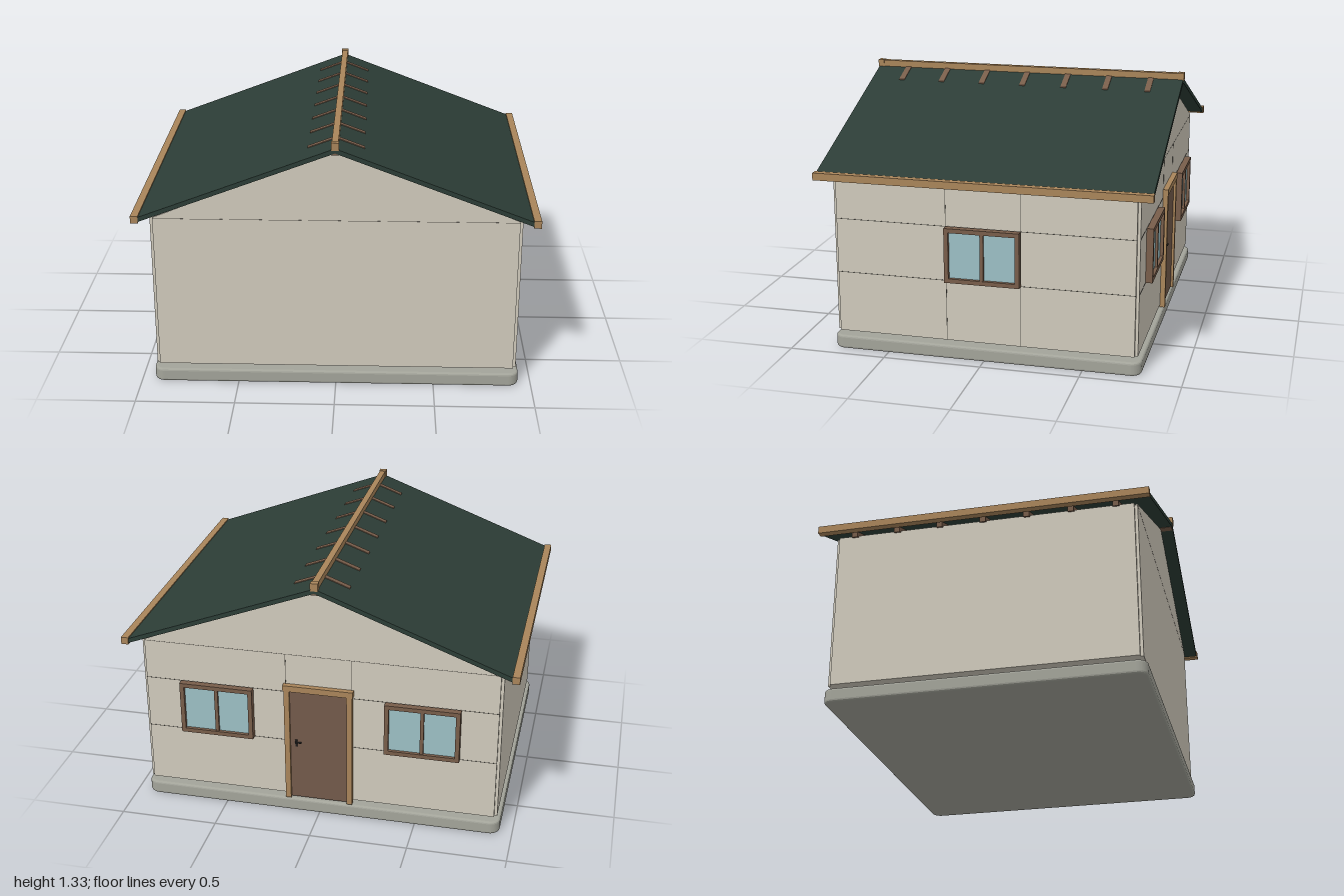
import * as THREE from 'three';

const mat = (name, color, side = THREE.FrontSide) => {
  const m = new THREE.MeshStandardMaterial({ color, side });
  m.name = name;
  return m;
};

export function createModel() {
  const M = {
    wall: mat('cream wall', 0xd0cabc),
    roof: mat('dark green roof', 0x2c3d36),
    wood: mat('light wood', 0xa9855a),
    dark: mat('dark wood', 0x785d4a),
    door: mat('door brown', 0x735a4b),
    glass: mat('blue glass', 0x9cc0c5),
    slab: mat('grey concrete', 0xa3a49a),
    seam: mat('seam grey', 0x55534c),
    metal: mat('handle black', 0x2a2826),
  };
  const house = new THREE.Group();
  house.name = 'house';

  const add = (parent, name, geo, material, x = 0, y = 0, z = 0) => {
    const m = new THREE.Mesh(geo, material);
    m.name = name;
    m.position.set(x, y, z);
    parent.add(m);
    return m;
  };
  // box given by its limits on each axis
  const box = (parent, name, material, x0, x1, y0, y1, z0, z1) =>
    add(parent, name, new THREE.BoxGeometry(x1 - x0, y1 - y0, z1 - z0), material,
      (x0 + x1) / 2, (y0 + y1) / 2, (z0 + z1) / 2);
  // x-y outline extruded from z0 to z1
  const prism = (parent, name, material, pts, z0, z1) => {
    const shape = new THREE.Shape(pts.map(p => new THREE.Vector2(...p)));
    const geo = new THREE.ExtrudeGeometry(shape, { depth: z1 - z0, bevelEnabled: false });
    return add(parent, name, geo, material, 0, 0, z0);
  };

  // Foundation slab with rounded corners and softened edges
  const b = 0.012, hx = 0.935 - b, hz = 0.79 - b, r = 0.04;
  const plan = new THREE.Shape();
  plan.absarc(hx - r, hz - r, r, 0, Math.PI / 2);
  plan.absarc(-hx + r, hz - r, r, Math.PI / 2, Math.PI);
  plan.absarc(-hx + r, -hz + r, r, Math.PI, Math.PI * 1.5);
  plan.absarc(hx - r, -hz + r, r, Math.PI * 1.5, Math.PI * 2);
  const slabGeo = new THREE.ExtrudeGeometry(plan, {
    depth: 0.07 - 2 * b, bevelThickness: b, bevelSize: b, bevelSegments: 3, curveSegments: 6,
  });
  slabGeo.rotateX(-Math.PI / 2);
  add(house, 'foundationSlab', slabGeo, M.slab, 0, b, 0);

  // Floor joists, pipes and floor
  for (let i = 0; i < 6; i++) {
    const z = 0.69 - i * 0.275;
    box(house, 'floorJoist', M.wood, -0.86, 0.86, 0.07, 0.095, z - 0.02, z + 0.02);
  }
  for (const z of [0.33, 0.25])
    box(house, 'floorPacker', M.wood, -0.5, 0.5, 0.07, 0.095, z - 0.006, z + 0.006);
  box(house, 'floor', M.wall, -0.905, 0.905, 0.095, 0.11, -0.757, 0.757);

  // Side walls, then gable walls
  for (const s of [-1, 1]) {
    const x = s * 0.9125;
    box(house, 'sideWall', M.wall, x - 0.0075, x + 0.0075, 0.095, 0.905, -0.757, 0.757);
    const z = s * 0.7645;
    prism(house, 'gableWall', M.wall,
      [[-0.905, 0.095], [0.905, 0.095], [0.905, 0.905], [0, 1.268], [-0.905, 0.905]],
      z - 0.0075, z + 0.0075);
    box(house, 'gableSeam', M.seam, -0.905, 0.905, 0.899, 0.901, z - 0.008, z + 0.008);
  }

  // Panel seams on the window side and the door side
  const t = 0.0015;
  for (const y of [0.41, 0.69]) {
    box(house, 'sideSeam', M.seam, 0.915, 0.921, y - t, y + t, -0.757, 0.757);
    box(house, 'backSeam', M.seam, -0.905, 0.905, y - t, y + t, -0.773, -0.767);
  }
  for (const s of [-1, 1]) {
    box(house, 'sideSeam', M.seam, 0.915, 0.921, 0.095, 0.9, s * 0.19 - t, s * 0.19 + t);
    box(house, 'backSeam', M.seam, s * 0.17 - t, s * 0.17 + t, 0.69, 0.9, -0.773, -0.767);
  }

  // Two-pane window, facing +z from its own wall plane
  const makeWindow = (x, z, turn) => {
    const w = new THREE.Group();
    w.name = 'window';
    const W = 0.19, H = 0.14, f = 0.022, d = 0.035;
    for (const s of [-1, 1]) {
      const cx = s * (W - f / 2), cy = s * (H - f / 2);
      box(w, 'frameSide', M.dark, cx - f / 2, cx + f / 2, -H, H, 0, d);
      box(w, 'frameRail', M.dark, -W + f, W - f, cy - f / 2, cy + f / 2, 0, d);
    }
    box(w, 'mullion', M.dark, -0.009, 0.009, -H + f, H - f, 0, d - 0.004);
    box(w, 'glass', M.glass, -W + f, W - f, -H + f, H - f, 0.012, 0.018);
    w.position.set(x, 0.55, z);
    w.rotation.y = turn;
    house.add(w);
  };
  makeWindow(0.921, 0, Math.PI / 2);
  makeWindow(0.53, -0.772, Math.PI);
  makeWindow(-0.53, -0.772, Math.PI);

  // Back door with frame and handle
  const door = new THREE.Group();
  door.name = 'door';
  house.add(door);
  box(door, 'doorLeaf', M.door, -0.15, 0.15, 0.085, 0.71, -0.785, -0.77);
  for (const s of [-1, 1])
    box(door, 'doorPost', M.wood, s * 0.161 - 0.014, s * 0.161 + 0.014, 0.08, 0.71, -0.798, -0.77);
  box(door, 'doorHead', M.wood, -0.18, 0.18, 0.705, 0.737, -0.8, -0.77);
  box(door, 'handlePlate', M.metal, 0.112, 0.122, 0.385, 0.425, -0.789, -0.784);
  box(door, 'handleLever', M.metal, 0.09, 0.122, 0.409, 0.415, -0.797, -0.789);

  // Roof slopes, rafters, ridge straps and eave beams on both sides
  const top = x => 1.298 - 0.379 * x;
  for (const s of [-1, 1]) {
    const strip = (name, material, x0, x1, up, down, z0, z1) => prism(house, name, material,
      [[s * x0, top(x0) + up], [s * x1, top(x1) + up], [s * x1, top(x1) - down], [s * x0, top(x0) - down]],
      z0, z1);
    strip('roofSlope', M.roof, 0, 0.966, 0, 0.024, -0.838, 0.838);
    for (let i = -3; i <= 3; i++) {
      const z = i * 0.223;
      strip('rafter', M.dark, 0, 0.94, -0.023, 0.052, z - 0.015, z + 0.015);
      strip('ridgeStrap', M.dark, 0.005, 0.14, 0.004, 0.002, z - 0.015, z + 0.015);
    }
    const x = s * 0.9815;
    box(house, 'eaveBeam', M.wood, x - 0.0185, x + 0.0185, 0.902, 0.939, -0.843, 0.843);
  }

  // Ridge beams above and below the roof
  box(house, 'ridgeBeam', M.wood, -0.016, 0.016, 1.288, 1.325, -0.84, 0.84);
  for (const s of [-1, 1])
    box(house, 'ridgeEnd', M.wood, -0.019, 0.019, 1.288, 1.328, s * 0.827 - 0.016, s * 0.827 + 0.016);
  box(house, 'lowerRidgeBeam', M.dark, -0.02, 0.02, 1.264, 1.284, -0.835, 0.835);

  return house;
}
